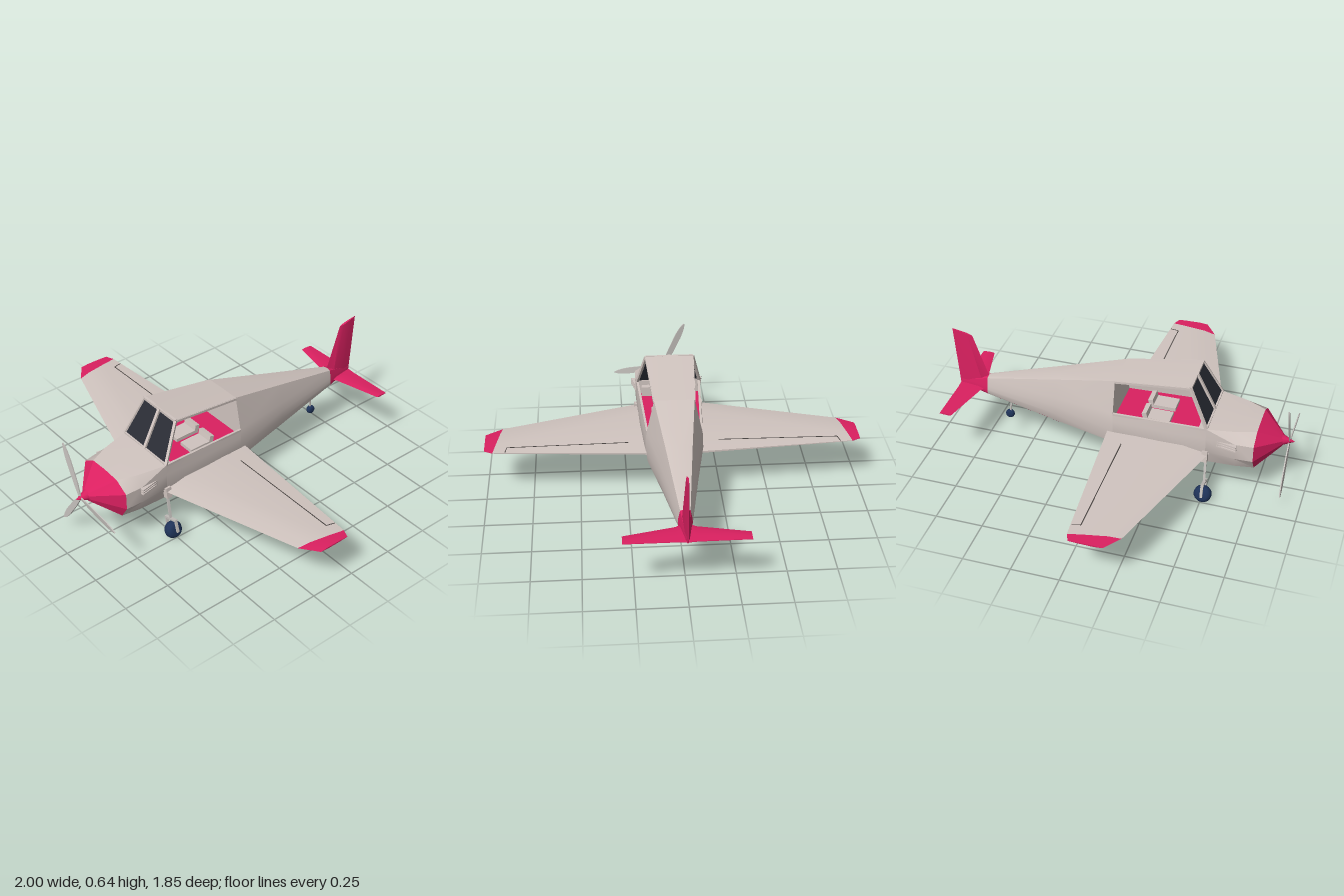
import * as THREE from 'three';
import { toCreasedNormals } from 'three/addons/utils/BufferGeometryUtils.js';

const paint = (name, color, side = THREE.FrontSide) => {
  const m = new THREE.MeshStandardMaterial({ color, side });
  m.name = name;
  return m;
};

// Skin of quads across open sections of [x, y, z]; side -1 mirrors it in x
function skinPoints(sections, side = 1, cap = false) {
  const out = [];
  const tri = (a, b, c) => {
    for (const p of side > 0 ? [a, b, c] : [a, c, b]) out.push(p[0] * side, p[1], p[2]);
  };
  for (let i = 0; i < sections.length - 1; i++) {
    const s = sections[i], t = sections[i + 1];
    for (let j = 0; j < s.length - 1; j++) {
      tri(s[j], t[j], t[j + 1]);
      tri(s[j], t[j + 1], s[j + 1]);
    }
  }
  if (cap) {
    const e = sections[sections.length - 1];
    for (let k = 1; k < e.length - 1; k++) tri(e[0], e[k + 1], e[k]);
  }
  return out;
}

function toGeometry(points, crease = 0.5) {
  const g = new THREE.BufferGeometry();
  g.setAttribute('position', new THREE.Float32BufferAttribute(points, 3));
  g.computeVertexNormals();
  return toCreasedNormals(g, crease);
}

// Both halves of a body whose rings run from keel to top
const body = (rings, crease) => toGeometry([...skinPoints(rings), ...skinPoints(rings, -1)], crease);

// Aerofoil section between a leading and a trailing point
function foil([xl, zl, xt, zt, y, t]) {
  const profile = [[0, 0], [0.25, 0.5], [0.7, 0.35], [1, 0.1], [1, -0.1], [0.7, -0.35], [0.25, -0.5], [0, 0]];
  return profile.map(([f, h]) => [xl + (xt - xl) * f, y + h * t, zl + (zt - zl) * f]);
}
const surface = (sections, side = 1) => toGeometry(skinPoints(sections.map(foil), side, true), 0.35);

export function createModel() {
  const model = new THREE.Group();
  const cream = paint('cream paint', 0xd0c4bf, THREE.DoubleSide);
  const pink = paint('pink paint', 0xda2060, THREE.DoubleSide);
  const glass = paint('dark glass', 0x2b2d36, THREE.DoubleSide);
  const navy = paint('navy rubber', 0x1f3359);
  const metal = paint('light metal', 0xc4c0bc);
  const dark = paint('dark seam', 0x4a4543);

  const add = (name, geometry, material, parent = model) => {
    const m = new THREE.Mesh(geometry, material);
    m.name = name;
    parent.add(m);
    return m;
  };
  // Square rod between two points
  const bar = (name, a, b, w, material, h = w) => {
    const p = new THREE.Vector3(...a), q = new THREE.Vector3(...b);
    const m = add(name, new THREE.BoxGeometry(w, h, p.distanceTo(q)), material);
    m.position.copy(p).add(q).multiplyScalar(0.5);
    m.lookAt(q);
  };
  const at = (z, pts) => pts.map(([x, y]) => [x, y, z]);

  // Fuselage rings, half profiles from keel to top
  const noseRings = [
    at(0.745, [[0, 0.19], [0.08, 0.192], [0.13, 0.2], [0.175, 0.27], [0.175, 0.36], [0.1, 0.405], [0, 0.41]]),
    at(0.65, [[0, 0.172], [0.08, 0.176], [0.145, 0.2], [0.178, 0.27], [0.178, 0.36], [0.14, 0.412], [0, 0.417]]),
    at(0.5, [[0, 0.16], [0.08, 0.165], [0.15, 0.2], [0.176, 0.28], [0.177, 0.36], [0.175, 0.42], [0, 0.425]]),
  ];
  const midRing = at(0.25, [[0, 0.156], [0.08, 0.16], [0.15, 0.196], [0.17, 0.28], [0.168, 0.35], [0.163, 0.403]]);
  const rearRings = [
    at(0, [[0, 0.168], [0.075, 0.172], [0.14, 0.2], [0.153, 0.28], [0.15, 0.34], [0.145, 0.385], [0.105, 0.565], [0, 0.567]]),
    at(-0.33, [[0, 0.19], [0.05, 0.195], [0.085, 0.227], [0.098, 0.28], [0.098, 0.33], [0.094, 0.38], [0.068, 0.48], [0, 0.484]]),
    at(-0.74, [[0, 0.266], [0.015, 0.267], [0.026, 0.274], [0.035, 0.29], [0.036, 0.31], [0.034, 0.33], [0.025, 0.375], [0, 0.38]]),
  ];
  const tailEnd = at(-0.9, [[0, 0.3], [0.004, 0.301], [0.006, 0.304], [0.007, 0.308], [0.007, 0.312], [0.006, 0.318], [0.005, 0.326], [0, 0.33]]);
  const cut = (rings, a, b) => rings.map(r => r.slice(a, b));
  const tubRings = [noseRings[2], midRing, rearRings[0]];

  add('belly', body(cut([...noseRings, midRing, ...rearRings], 0, 3), 0.6), pink);
  add('engineCowl', body(cut(noseRings, 2, 7), 0.5), cream);
  add('cabinSides', body(cut(tubRings, 2, 6), 0.5), cream);
  add('rearFuselage', body(cut(rearRings, 2, 8), 0.6), cream);
  add('tailCone', body([rearRings[2], tailEnd], 0.5), pink);

  // Walls at both ends of the cabin
  for (const [name, ring] of [['firewall', noseRings[2]], ['rearBulkhead', rearRings[0]]]) {
    add(name, body([ring, ring.map(([, y, z]) => [0, y, z])]), cream);
  }

  // Faceted nose and spinner
  const noseTip = noseRings[0].map(([x, y]) => [x * 0.17, 0.31 + (y - 0.31) * 0.2, 0.865]);
  add('noseCone', body([noseTip, noseRings[0]], 0.2), pink);
  const spinner = add('spinner', new THREE.ConeGeometry(0.03, 0.065, 8), pink);
  spinner.rotation.x = Math.PI / 2;
  spinner.position.set(0, 0.31, 0.892);

  // Three-bladed propeller
  const blade = new THREE.Shape();
  blade.moveTo(0.01, -0.008);
  blade.lineTo(0.08, -0.018);
  blade.lineTo(0.2, -0.019);
  blade.quadraticCurveTo(0.275, -0.016, 0.293, 0);
  blade.quadraticCurveTo(0.275, 0.014, 0.2, 0.017);
  blade.lineTo(0.08, 0.014);
  blade.lineTo(0.01, 0.008);
  const bladeGeometry = new THREE.ExtrudeGeometry(blade, { depth: 0.006, bevelEnabled: false });
  bladeGeometry.translate(0, 0, -0.003).rotateX(0.12);
  for (let i = 0; i < 3; i++) {
    const b = add('propellerBlade', bladeGeometry, metal);
    b.position.set(0, 0.31, 0.897);
    b.rotation.z = THREE.MathUtils.degToRad(-6 + 120 * i);
  }

  // Roof and cabin interior
  add('roof', body([
    [[0.13, 0.61, 0.4], [0.128, 0.622, 0.4], [0, 0.626, 0.4]],
    [[0.108, 0.553, 0], [0.105, 0.565, 0], [0, 0.567, 0]],
  ], 0.5), cream);
  add('cabinFloor', body([
    [[0.172, 0.35, 0.495], [0, 0.35, 0.495]], [[0.148, 0.35, 0.002], [0, 0.35, 0.002]],
  ]), pink);
  add('instrumentPanel', new THREE.BoxGeometry(0.3, 0.06, 0.03), cream).position.set(0, 0.375, 0.47);

  // Windscreen post
  bar('windscreenPost', [0, 0.424, 0.502], [0, 0.622, 0.402], 0.016, cream);
  bar('windscreenBase', [-0.172, 0.422, 0.5], [0.172, 0.422, 0.5], 0.012, cream);
  bar('windscreenTop', [-0.128, 0.617, 0.4], [0.128, 0.617, 0.4], 0.014, cream);

  for (const s of [1, -1]) {
    // Windscreen panes, window frames and seats
    add('windscreenPane', toGeometry(skinPoints([
      [[0.168, 0.424, 0.499], [0, 0.424, 0.499]], [[0.126, 0.62, 0.4], [0, 0.62, 0.4]],
    ], s)), glass);
    bar('windscreenPillar', [s * 0.172, 0.42, 0.5], [s * 0.126, 0.618, 0.4], 0.014, cream);
    bar('windowTopRail', [s * 0.126, 0.615, 0.4], [s * 0.104, 0.558, 0], 0.012, cream);
    bar('windowSill', [s * 0.17, 0.415, 0.5], [s * 0.142, 0.382, 0], 0.012, cream);
    add('seatCushion', new THREE.BoxGeometry(0.09, 0.02, 0.12), cream).position.set(s * 0.06, 0.36, 0.23);
    const back = add('seatBack', new THREE.BoxGeometry(0.09, 0.05, 0.025), cream);
    back.position.set(s * 0.06, 0.372, 0.16);
    back.rotation.x = -0.2;

    // Wing, coloured tip and aileron seam
    const border = [0.91, 0.285, 0.955, 0.03, 0.268, 0.016];
    add('wing', surface([[0.12, 0.535, 0.12, -0.032, 0.267, 0.05], border], s), cream);
    add('wingTip', surface([border, [1, 0.22, 1, 0.05, 0.27, 0.008]], s), pink);
    bar('aileronSeam', [s * 0.24, 0.2785, 0.075], [s * 0.88, 0.2725, 0.075], 0.005, dark, 0.003);
    bar('aileronEndSeam', [s * 0.88, 0.2725, 0.075], [s * 0.89, 0.2705, 0.03], 0.004, dark, 0.003);

    // Tailplane
    add('tailplane', surface([
      [0, -0.74, 0, -0.905, 0.306, 0.014],
      [0.05, -0.775, 0.05, -0.9, 0.306, 0.014],
      [0.305, -0.835, 0.305, -0.9, 0.306, 0.008],
    ], s), pink);

    // Stacked cowl louvres
    const louvre = new THREE.Shape([[0.17, 0.52], [0.2, 0.66], [0.165, 0.66]].map(([x, z]) => new THREE.Vector2(s * x, z)));
    for (let i = 0; i < 3; i++) {
      const g = new THREE.ExtrudeGeometry(louvre, { depth: 0.007, bevelEnabled: false }).rotateX(Math.PI / 2);
      add('cowlLouvre', g, cream).position.y = 0.333 + i * 0.013;
    }

    // Main landing gear
    bar('gearHousing', [s * 0.175, 0.285, 0.5], [s * 0.183, 0.225, 0.5], 0.03, cream);
    bar('gearLeg', [s * 0.178, 0.27, 0.505], [s * 0.211, 0.115, 0.51], 0.012, metal);
    const gear = new THREE.Group();
    gear.name = 'mainWheel';
    gear.position.set(s * 0.23, 0.05, 0.51);
    gear.rotation.z = s * 0.26;
    model.add(gear);
    addWheel(gear, 0.046, 0.06);
    add('forkTop', new THREE.BoxGeometry(0.09, 0.01, 0.016), metal, gear).position.y = 0.062;
    for (const e of [1, -1]) {
      add('forkArm', new THREE.BoxGeometry(0.009, 0.07, 0.014), metal, gear).position.set(e * 0.041, 0.03, 0);
    }
  }

  // Rounded tyre turning about x
  function addWheel(parent, r, w) {
    const profile = [[0, -0.5], [0.55, -0.5], [0.85, -0.36], [1, -0.13], [1, 0.13], [0.85, 0.36], [0.55, 0.5], [0, 0.5]];
    const g = new THREE.LatheGeometry(profile.map(([a, b]) => new THREE.Vector2(a * r, b * w)), 20);
    add('tyre', g.rotateZ(Math.PI / 2), navy, parent);
  }

  // Tail wheel
  const tailWheel = new THREE.Group();
  tailWheel.name = 'tailWheel';
  tailWheel.position.set(0, 0.15, -0.63);
  model.add(tailWheel);
  addWheel(tailWheel, 0.024, 0.032);
  bar('tailWheelLeg', [0, 0.15, -0.63], [0, 0.26, -0.615], 0.009, metal);

  // Upright fin
  add('fin', surface([
    [0.3, -0.76, 0.3, -0.905, 0, 0.03],
    [0.37, -0.737, 0.37, -0.909, 0, 0.036],
    [0.615, -0.82, 0.64, -0.93, 0, 0.012],
  ]).rotateZ(Math.PI / 2), pink);

  return model;
}
